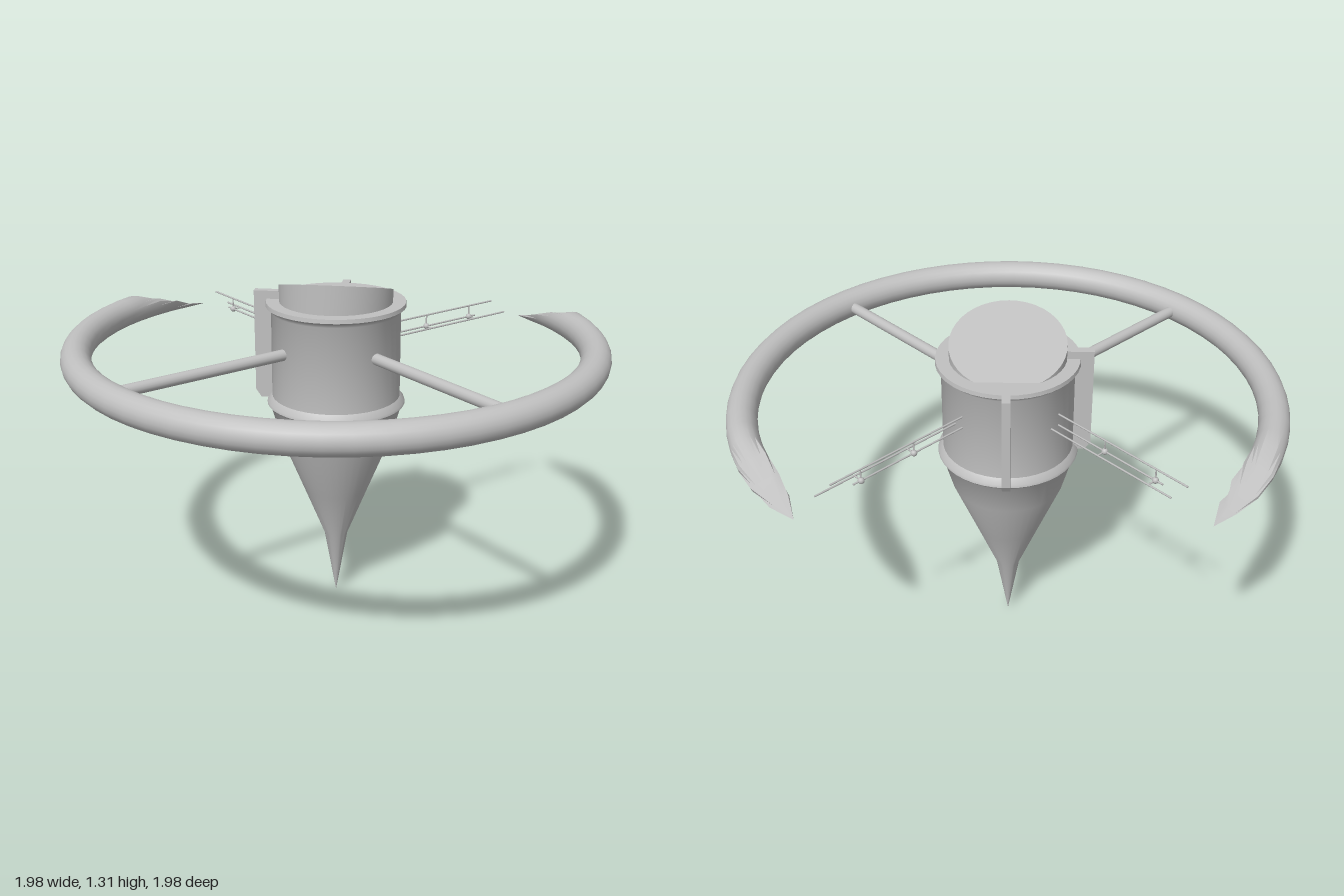
import * as THREE from 'three';
import { toCreasedNormals } from 'three/addons/utils/BufferGeometryUtils.js';

const C = -0.015; // body axis in x and z
const RING_Y = 1.04, RING_R = 0.95, TUBE_R = 0.055;

export function createModel() {
  const model = new THREE.Group();
  const grey = new THREE.MeshStandardMaterial({ color: 0xc0c0c0, side: THREE.DoubleSide });
  grey.name = 'plain grey';

  function add(parent, geometry, name, x = 0, y = 0, z = 0) {
    const mesh = new THREE.Mesh(geometry, grey);
    mesh.name = name;
    mesh.position.set(x, y, z);
    parent.add(mesh);
    return mesh;
  }

  // Straight round bar between two points
  function bar(parent, a, b, radius, name, sides = 12) {
    const from = new THREE.Vector3(...a), to = new THREE.Vector3(...b);
    const dir = to.clone().sub(from);
    const mesh = add(parent, new THREE.CylinderGeometry(radius, radius, dir.length(), sides), name);
    mesh.position.copy(from).add(to).multiplyScalar(0.5);
    mesh.quaternion.setFromUnitVectors(new THREE.Vector3(0, 1, 0), dir.normalize());
    return mesh;
  }

  // Pointed body with a flange at the cone and at the rim
  const profile = [[0, 0], [0.045, 0.26], [0.125, 0.46], [0.21, 0.67], [0.246, 0.8], [0.26, 0.815],
    [0.258, 0.825], [0.241, 0.845], [0.24, 1.17], [0.248, 1.183], [0.26, 1.19], [0.258, 1.205], [0, 1.205]]
    .map(p => new THREE.Vector2(...p));
  add(model, toCreasedNormals(new THREE.LatheGeometry(profile, 40), 0.6), 'body', C, 0, C);

  // Round cap with a slanted top, highest towards +x +z
  const cap = new THREE.CylinderGeometry(0.21, 0.21, 1, 40);
  const cp = cap.attributes.position;
  for (let i = 0; i < cp.count; i++) {
    cp.setY(i, cp.getY(i) > 0 ? 1.255 + 0.2 * (cp.getX(i) + cp.getZ(i)) : 1.18);
  }
  add(model, toCreasedNormals(cap, 0.6), 'slantedCap', C, 0, C);

  // Three-quarter ring, both ends shaved off by a sloping plane
  const ring = new THREE.TorusGeometry(RING_R, TUBE_R, 20, 48, Math.PI * 1.5);
  ring.rotateZ(-Math.PI / 2).rotateX(Math.PI / 2);
  const rp = ring.attributes.position;
  const cut = (out, along, y) => y - (0.055 - 0.27 * (0.375 - along) + 0.3 * (out + 0.875));
  for (let i = 0; i < rp.count; i++) {
    const p = new THREE.Vector3().fromBufferAttribute(rp, i);
    const angle = Math.atan2(p.z, p.x);
    const bottom = new THREE.Vector3(Math.cos(angle) * RING_R, -TUBE_R, Math.sin(angle) * RING_R);
    let above = null;
    if (p.x < -0.6 && p.z > -0.1) above = q => cut(q.x, q.z, q.y);
    if (p.z < -0.6 && p.x > -0.1) above = q => cut(q.z, q.x + 0.02, q.y);
    if (above && above(p) > 0) {
      const base = above(bottom);
      p.lerpVectors(bottom, p, base >= 0 ? 0 : base / (base - above(p)));
      rp.setXYZ(i, p.x, p.y, p.z);
    }
  }
  add(model, toCreasedNormals(ring, 0.5), 'ring', -0.012, RING_Y, -0.012);

  // Two arms carrying the ring
  bar(model, [0.2, RING_Y, C], [0.92, RING_Y, C], 0.021, 'leftArm', 16);
  bar(model, [C, RING_Y, 0.2], [C, RING_Y, 0.92], 0.021, 'frontArm', 16);

  // Upright fins on the two diagonals of the open side
  function fin(name, turn, top, inner) {
    const s = new THREE.Shape([[0.2, 0.85], [0.25, 0.82], [0.285, 0.82], [0.305, 0.85], [0.305, top],
      [inner, top], [inner, 1.19], [0.2, 1.19]].map(p => new THREE.Vector2(...p)));
    const g = new THREE.ExtrudeGeometry(s, { depth: 0.03, bevelEnabled: false }).translate(0, 0, -0.015);
    add(model, g, name, C, 0, C).rotation.y = turn;
  }
  fin('frontFin', -Math.PI * 0.75, 1.235, 0.2);
  fin('backFin', Math.PI * 0.75, 1.205, 0.22);

  // Thin parallel rods with small ball joints, built along -x
  function rodSet(name, turn, ballEnd, plainEnd) {
    const g = new THREE.Group();
    g.name = name;
    g.position.set(C, 0, C);
    g.rotation.y = turn;
    const high = 1.065, low = 1.02, side = 0.018;
    bar(g, [-0.2, high, side], [-ballEnd, high, side], 0.0035, 'ballRod', 6);
    bar(g, [-0.2, low, side], [-0.72, low, side], 0.0035, 'lowerRod', 6);
    bar(g, [-0.2, low, -side], [-plainEnd, low, -side], 0.0035, 'plainRod', 6);
    for (const x of [-0.46, -0.687]) {
      bar(g, [x, low, -side], [x, low, side], 0.003, 'crossPin', 6);
      bar(g, [x, low, side], [x, high, side], 0.003, 'uprightPin', 6);
      add(g, new THREE.SphereGeometry(0.012, 12, 8), 'ballJoint', x, low, side);
    }
    model.add(g);
  }
  rodSet('rightRods', 0, 0.82, 0.785);
  rodSet('backRods', -Math.PI / 2, 0.81, 0.85);

  return model;
}
